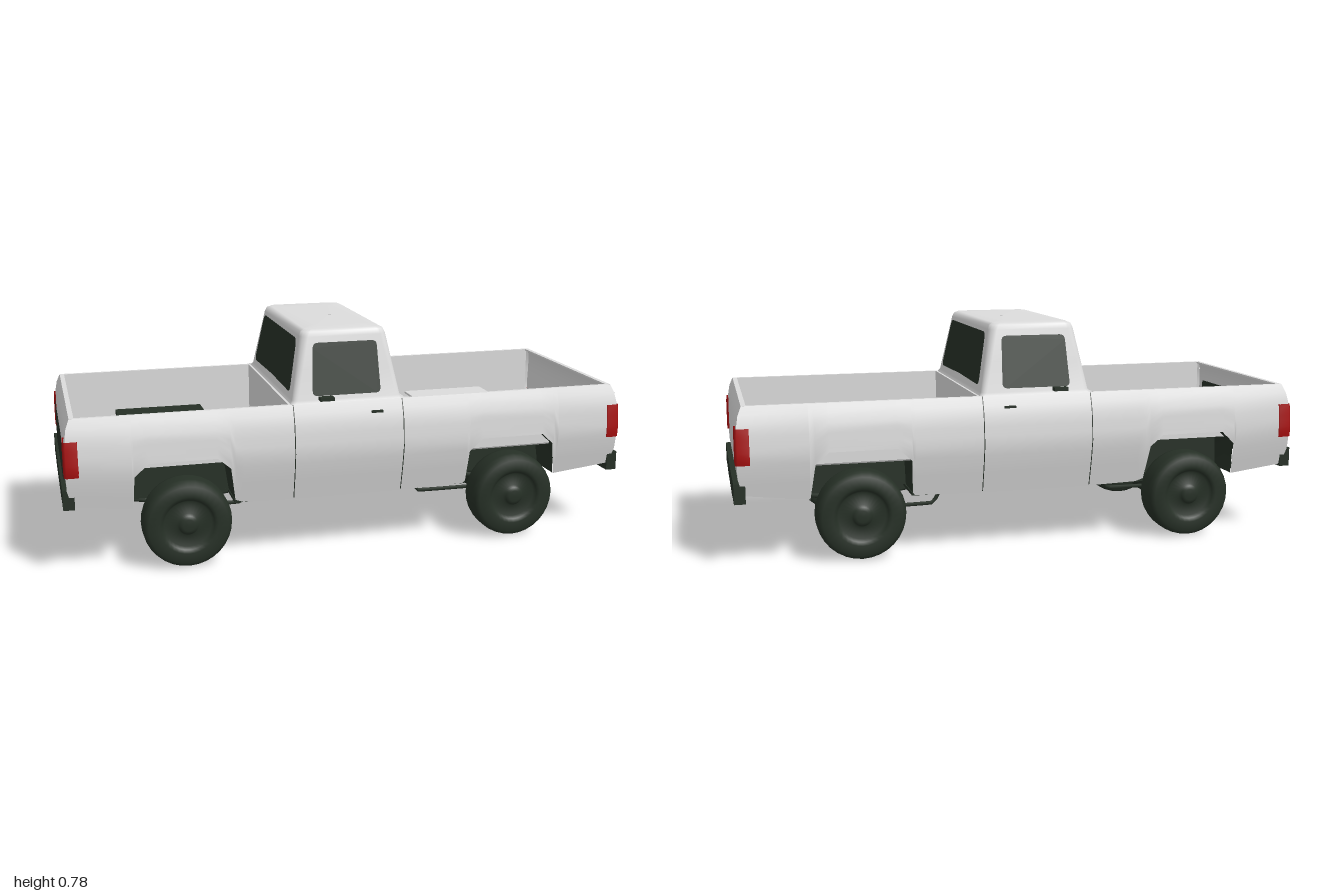
import * as THREE from 'three';

const mat = (name, color) => new THREE.MeshStandardMaterial({ name, color, side: THREE.DoubleSide });

// piecewise-linear lookup
function lookup(table, t) {
  if (t <= table[0][0]) return table[0][1];
  for (let i = 1; i < table.length; i++) {
    const [a, va] = table[i - 1], [b, vb] = table[i];
    if (t <= b) return va + (vb - va) * (t - a) / (b - a);
  }
  return table[table.length - 1][1];
}

// surface through a rectangular grid of points
function sheet(rows) {
  const n = rows[0].length, idx = [];
  for (let i = 0; i < rows.length - 1; i++)
    for (let j = 0; j < n - 1; j++) {
      const a = i * n + j, b = a + n;
      idx.push(a, b, a + 1, b, b + 1, a + 1);
    }
  const g = new THREE.BufferGeometry();
  g.setAttribute('position', new THREE.Float32BufferAttribute(rows.flat(2), 3));
  g.setIndex(idx);
  g.computeVertexNormals();
  return g;
}

// flat polygon with rounded corners, each vertex then placed by a rule
function pane(points, r, place) {
  const p = points.map(([x, y]) => new THREE.Vector2(x, y)), s = new THREE.Shape();
  p.forEach((c, i) => {
    const prev = p[(i + p.length - 1) % p.length], next = p[(i + 1) % p.length];
    const a = c.clone().add(prev.clone().sub(c).setLength(r));
    const b = c.clone().add(next.clone().sub(c).setLength(r));
    if (i) s.lineTo(a.x, a.y); else s.moveTo(a.x, a.y);
    s.quadraticCurveTo(c.x, c.y, b.x, b.y);
  });
  s.closePath();
  const g = new THREE.ShapeGeometry(s, 5), pos = g.attributes.position;
  for (let i = 0; i < pos.count; i++) pos.setXYZ(i, ...place(pos.getX(i), pos.getY(i)));
  g.computeVertexNormals();
  return g;
}

export function createModel() {
  const white = mat('white paint', 0xdcdcdc), grey = mat('grey floor', 0x9a9a9a);
  const dark = mat('dark green black', 0x263026), red = mat('red lamp', 0xa81010);
  const model = new THREE.Group();
  const add = (name, geo, m, x = 0, y = 0, z = 0) => {
    const o = new THREE.Mesh(geo, m);
    o.name = name;
    o.position.set(x, y, z);
    model.add(o);
    return o;
  };
  const box = (name, m, x0, x1, y0, y1, z0, z1) =>
    add(name, new THREE.BoxGeometry(x1 - x0, y1 - y0, Math.abs(z1 - z0)), m, (x0 + x1) / 2, (y0 + y1) / 2, (z0 + z1) / 2);
  const rod = (name, pts, r) => add(name, new THREE.TubeGeometry(
    new THREE.CatmullRomCurve3(pts.map(p => new THREE.Vector3(...p)), false, 'catmullrom', 0.1), 16, r, 6), dark);

  const TOP = 0.535, WHEELS = [-0.595, 0.585];
  const halfWidth = y => lookup([[0.2, 0.352], [0.3, 0.376], [0.37, 0.388], [0.46, 0.38], [0.5, 0.368], [TOP, 0.354]], y);
  const endX = y => lookup([[0.22, 0.965], [0.3, 0.986], [0.45, 0.986], [0.5, 0.98], [TOP, 0.966]], y);
  const arch = [[-0.177, 0.215], [-0.172, 0.33], [-0.125, 0.375], [0.105, 0.375], [0.15, 0.335], [0.167, 0.215]];
  const archAt = c => arch.map(([x, y]) => [c + x, y]);

  // body sides with wheel arches cut from the lower edge
  const lower = [[-1, 0.24], [-0.774, 0.214], ...archAt(WHEELS[0]), [-0.4, 0.205], [-0.22, 0.2], [0.16, 0.2],
    [0.4, 0.205], ...archAt(WHEELS[1]), [0.754, 0.214], [1, 0.24]];
  for (const s of [1, -1]) {
    add('bodySide', sheet(lower.map(([x, y0]) => Array.from({ length: 11 }, (_, j) => {
      const y = y0 + (TOP - y0) * j / 10;
      return [Math.abs(x) === 1 ? x * endX(y) : x, y, s * halfWidth(y)];
    }))), white);
    // door seams
    for (const x of [-0.224, 0.164])
      add('doorSeam', sheet([-0.0015, 0.0015].map(d => Array.from({ length: 11 }, (_, j) => {
        const y = 0.205 + 0.033 * j;
        return [x + d, y, s * (halfWidth(y) + 0.002)];
      }))), dark);
    box('doorHandle', dark, 0.05, 0.09, 0.494, 0.501, s * 0.366, s * 0.378);
    // inner walls and rails of the two open bays
    for (const [a, b, y] of [[-0.955, -0.235, 0.35], [0.175, 0.955, 0.33]]) {
      box('bayWall', white, a, b, y, TOP, s * 0.342, s * 0.347);
      box('bayRail', white, a, b, TOP - 0.006, TOP, s * 0.342, s * 0.354);
    }
  }

  for (const e of [-1, 1]) {
    // end panels
    add('endPanel', sheet(Array.from({ length: 11 }, (_, j) => {
      const y = 0.235 + (TOP - 0.235) * j / 10;
      return [-1, -0.5, 0, 0.5, 1].map(u => [e * endX(y), y, u * halfWidth(y)]);
    })), white);
    box('endRail', white, Math.min(e * 0.95, e * 0.966), Math.max(e * 0.95, e * 0.966), TOP - 0.006, TOP, -0.352, 0.352);
    // wrap-around corner lamps
    for (const s of [1, -1])
      add('cornerLamp', sheet(Array.from({ length: 7 }, (_, j) => {
        const y = 0.345 + 0.02 * j, x = endX(y) + 0.006, z = halfWidth(y) + 0.004;
        return [[e * (x - 0.006), y, s * 0.311], [e * x, y, s * 0.315], [e * x, y, s * (z - 0.008)],
          [e * (x - 0.008), y, s * z], [e * 0.947, y, s * z], [e * 0.944, y, s * (z - 0.006)]];
      })), red);
    // bumpers with ends swept up slightly
    const bumper = new THREE.BoxGeometry(0.038, 0.068, 0.74, 1, 1, 8), p = bumper.attributes.position;
    for (let i = 0; i < p.count; i++) p.setY(i, p.getY(i) + (Math.abs(p.getZ(i)) > 0.2 ? 0.008 : 0));
    add('bumper', bumper, dark, e * 0.981, e > 0 ? 0.24 : 0.258);
  }

  // grille plate, outside and inside
  for (const x of [-0.991, -0.95])
    add('grille', pane([[-0.28, 0.3], [0.28, 0.3], [0.28, 0.465], [-0.28, 0.465]], 0.015, (z, y) => [x, y, z]), dark);

  // floors, bulkheads and underbody
  box('frontBayFloor', dark, -0.96, -0.235, 0.35, 0.358, -0.345, 0.345);
  box('rearBayFloor', grey, 0.175, 0.96, 0.325, 0.333, -0.345, 0.345);
  box('frontBulkhead', white, -0.238, -0.228, 0.21, TOP, -0.35, 0.35);
  box('rearBulkhead', white, 0.168, 0.178, 0.21, TOP, -0.35, 0.35);
  box('underbody', dark, -0.43, 0.41, 0.203, 0.213, -0.35, 0.35);
  box('frontUnderbody', dark, -0.78, -0.43, 0.203, 0.213, -0.22, 0.22);

  // cab upper: rounded rectangles stacked in height
  const ring = (y, x0, x1, w, r) => {
    const out = [];
    [[x1, w, 0], [x0, w, 1], [x0, -w, 2], [x1, -w, 3]].forEach(([x, z, q]) => {
      const cx = x - Math.sign(x) * r, cz = z - Math.sign(z) * r;
      for (let k = 0; k <= 4; k++) {
        const a = (q + k / 4) * Math.PI / 2;
        out.push([cx + r * Math.cos(a), y, cz + r * Math.sin(a)]);
      }
    });
    out.push(out[0]);
    return out;
  };
  add('cab', sheet([ring(0.53, -0.234, 0.174, 0.354, 0.012), ring(0.545, -0.222, 0.163, 0.346, 0.018),
    ring(0.65, -0.2025, 0.1435, 0.3235, 0.022), ring(0.755, -0.183, 0.124, 0.301, 0.026),
    ring(0.771, -0.177, 0.118, 0.294, 0.028), ring(0.778, -0.163, 0.104, 0.28, 0.024),
    ring(0.779, -0.1, 0.05, 0.2, 0.02), ring(0.779, -0.005, 0.005, 0.005, 0.001)]), white);

  // windows lie just proud of the sloping cab walls
  const slope = (a, b, y) => a + (b - a) * (y - 0.545) / 0.21;
  for (const s of [1, -1]) {
    add('sideWindow', pane([[-0.153, 0.558], [0.09, 0.558], [0.084, 0.735], [-0.143, 0.735]], 0.018,
      (x, y) => [x, y, s * (slope(0.346, 0.301, y) + 0.003)]), dark);
    add('endWindow', pane([[-0.292, 0.565], [0, 0.57], [0.292, 0.565], [0.26, 0.745], [-0.26, 0.745]], 0.025,
      (z, y) => [s > 0 ? slope(0.163, 0.124, y) + 0.003 : slope(-0.222, -0.183, y) - 0.003, y, z]), dark);
    // mirrors
    box('mirrorArm', dark, -0.12, -0.108, 0.548, 0.554, s * 0.335, s * 0.365);
    box('mirror', dark, -0.135, -0.085, 0.547, 0.559, s * 0.356, s * 0.385);
  }

  // wheels, wheel tubs, axles and springs
  const tyre = [[0, 0], [0.1, 0], [0.135, 0.003], [0.148, 0.015], [0.152, 0.035], [0.152, 0.085], [0.148, 0.105],
    [0.135, 0.117], [0.1, 0.119], [0.088, 0.113], [0.08, 0.1], [0.038, 0.102], [0.032, 0.114], [0.02, 0.118], [0, 0.118]];
  const wheelGeo = new THREE.LatheGeometry(tyre.map(q => new THREE.Vector2(...q)), 32);
  const axle = [[0.017, -0.3], [0.02, -0.2], [0.034, -0.14], [0.055, -0.06], [0.066, -0.025],
    [0.066, 0.025], [0.055, 0.06], [0.034, 0.14], [0.02, 0.2], [0.017, 0.3]];
  const axleGeo = new THREE.LatheGeometry(axle.map(q => new THREE.Vector2(...q)), 16);
  WHEELS.forEach((c, i) => {
    add('axle', axleGeo, dark, c, 0.143, 0).rotation.x = Math.PI / 2;
    for (const s of [1, -1]) {
      add('wheel', wheelGeo, dark, c, 0.153, s * 0.28).rotation.x = s * Math.PI / 2;
      const edge = archAt(c);
      add('wheelTub', sheet(edge.map(([x, y]) => [[x, y, s * (halfWidth(y) - 0.004)], [x, y, s * 0.225]])), dark);
      add('wheelTubWall', pane(edge, 0.004, (x, y) => [x, y, s * 0.225]), dark);
      if (i) box('wheelTubTop', white, c - 0.17, c + 0.16, 0.378, 0.386, s * 0.23, s * 0.345);
      else box('wheelTubTop', dark, c - 0.17, c + 0.16, 0.37, 0.386, s * 0.225, s * 0.345);
      rod('leafSpring', [[c - 0.25, 0.198, s * 0.155], [c, 0.158, s * 0.155], [c + 0.25, 0.198, s * 0.155]], 0.009);
      box('springClamp', dark, c - 0.03, c + 0.03, 0.108, 0.2, s * 0.144, s * 0.166);
    }
  });
  for (const s of [1, -1]) {
    box('frameRail', dark, -0.9, 0.89, 0.188, 0.206, s * 0.14, s * 0.17);
    rod('rearLink', [[0.26, 0.198, s * 0.155], [0.3, 0.125, s * 0.155], [0.56, 0.122, s * 0.155]], 0.007);
    rod('frontLink', [[-0.33, 0.2, s * 0.155], [-0.37, 0.14, s * 0.155], [-0.56, 0.138, s * 0.155]], 0.007);
  }
  rod('rearDriveShaft', [[0, 0.2, 0], [0.3, 0.17, 0], [0.55, 0.145, 0]], 0.012);
  rod('frontDriveShaft', [[0, 0.2, 0.05], [-0.3, 0.17, 0.03], [-0.56, 0.15, 0]], 0.01);
  return model;
}
